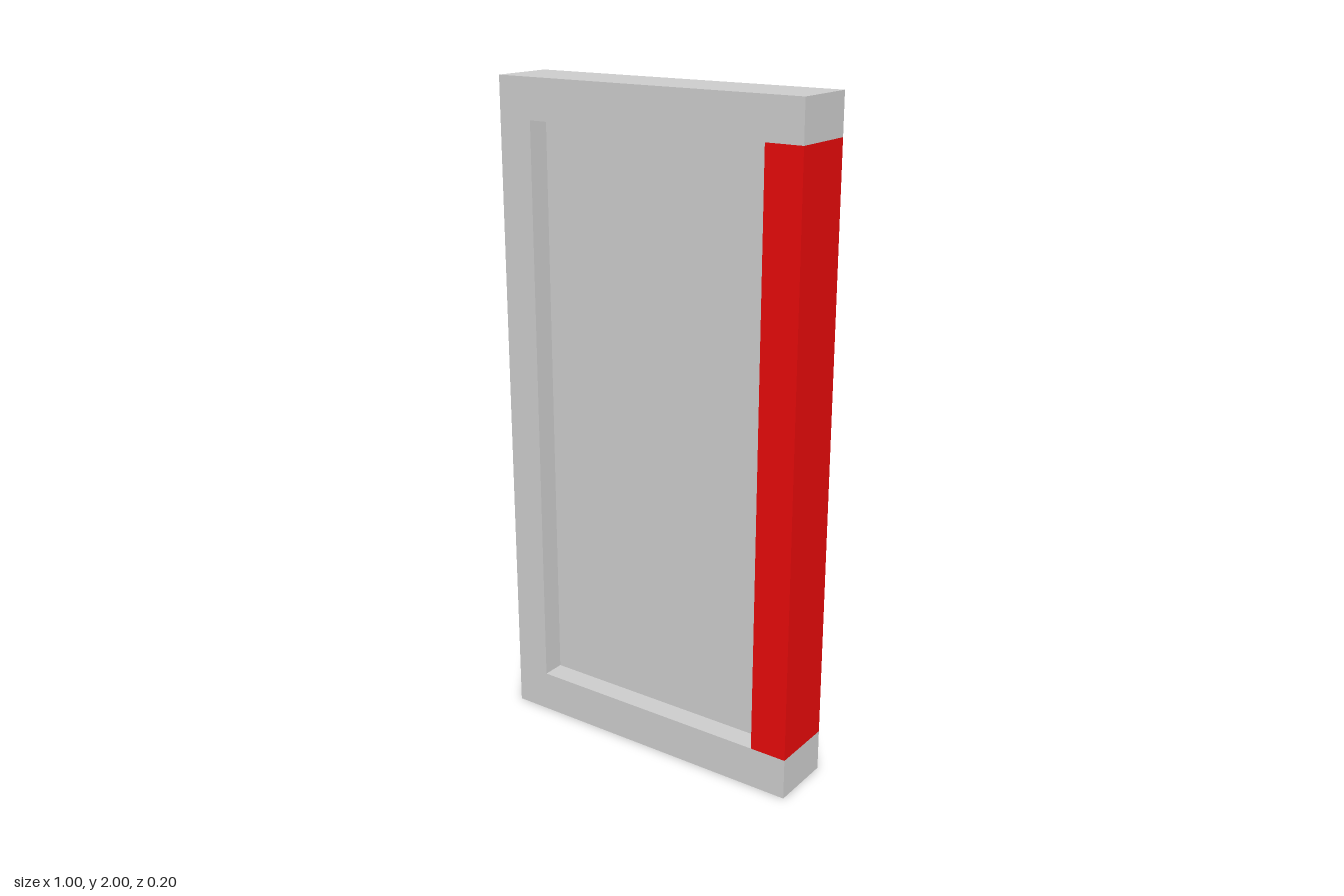
import * as THREE from 'three';

const HALF_W = 0.5, HEIGHT = 2, DEPTH = 0.2;
// Opening inside the frame
const LEFT = -0.39, RIGHT = 0.386, BOTTOM = 0.126, TOP = 1.88;
const PANEL_DEPTH = 0.06;

function box(name, x0, x1, y0, y1, depth, material) {
  const mesh = new THREE.Mesh(new THREE.BoxGeometry(x1 - x0, y1 - y0, depth), material);
  mesh.position.set((x0 + x1) / 2, (y0 + y1) / 2, 0);
  mesh.name = name;
  return mesh;
}

export function createModel() {
  const group = new THREE.Group();
  group.name = 'framedPanel';
  const grey = new THREE.MeshStandardMaterial({ color: 0xcccccc });
  const red = new THREE.MeshStandardMaterial({ color: 0xe60a0a });

  // Top rail, bottom rail and one stile as a single C-shaped frame
  const outline = new THREE.Shape([
    [-HALF_W, 0], [HALF_W, 0], [HALF_W, BOTTOM], [LEFT, BOTTOM],
    [LEFT, TOP], [HALF_W, TOP], [HALF_W, HEIGHT], [-HALF_W, HEIGHT],
  ].map(([x, y]) => new THREE.Vector2(x, y)));
  const frameGeometry = new THREE.ExtrudeGeometry(outline, { depth: DEPTH, bevelEnabled: false });
  frameGeometry.translate(0, 0, -DEPTH / 2);
  const frame = new THREE.Mesh(frameGeometry, grey);
  frame.name = 'frame';
  group.add(frame);

  // Coloured stile closing the frame, and the recessed panel
  group.add(box('colouredStile', RIGHT, HALF_W, BOTTOM, TOP, DEPTH, red));
  group.add(box('panel', LEFT, RIGHT, BOTTOM, TOP, PANEL_DEPTH, grey));

  return group;
}
